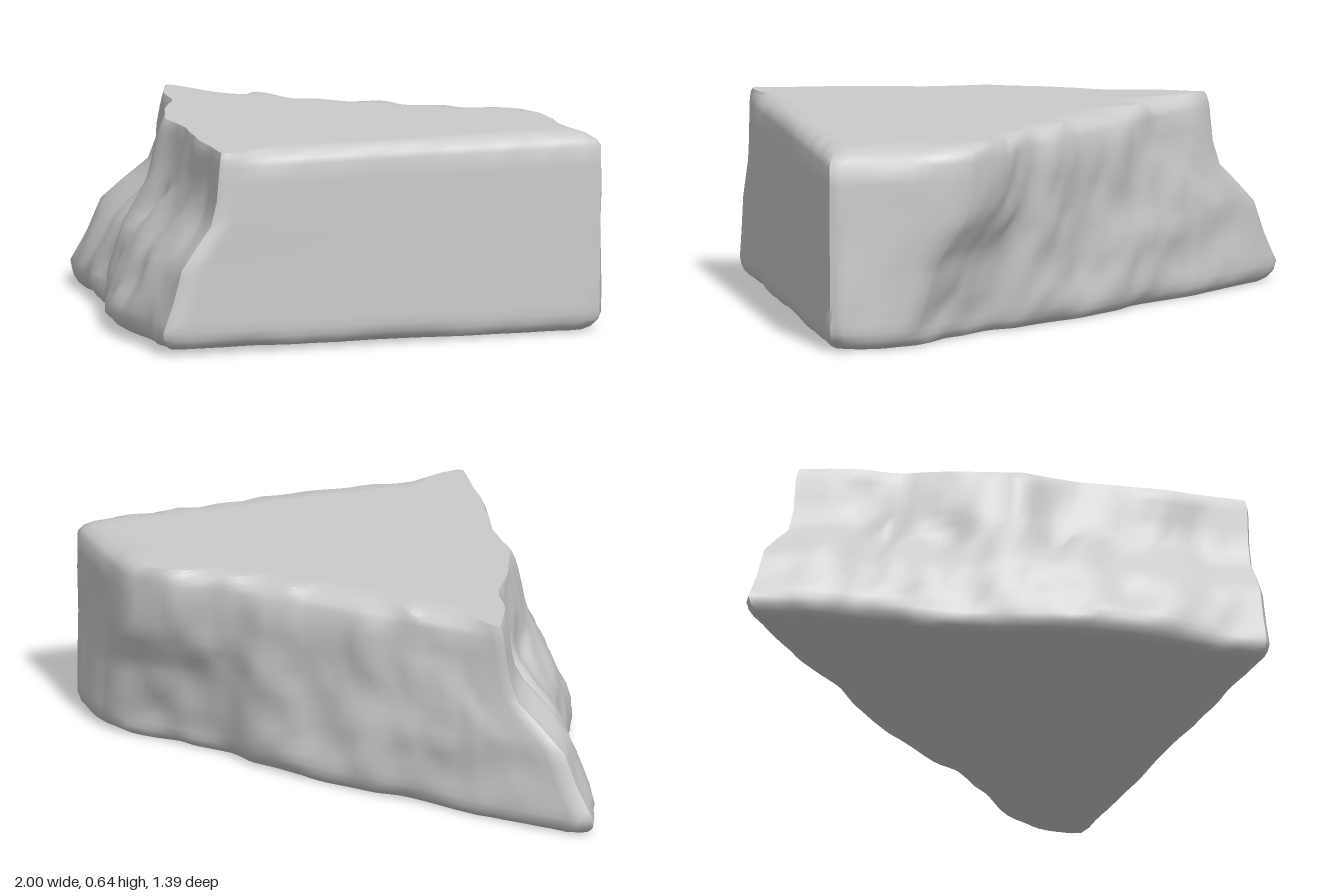
import * as THREE from 'three';
import { toCreasedNormals } from 'three/addons/utils/BufferGeometryUtils.js';

const { lerp, smoothstep } = THREE.MathUtils;
const HEIGHT = 0.64;

// Seeded smooth value noise, -1..1
function hash(x, y, z) {
  const s = Math.sin(x * 127.1 + y * 311.7 + z * 74.7) * 43758.5453;
  return (s - Math.floor(s)) * 2 - 1;
}
function noise(x, y, z) {
  const c = [x, y, z].map(Math.floor);
  const [u, v, w] = [x, y, z].map((n, i) => smoothstep(n - c[i], 0, 1));
  const row = (j, k) => lerp(hash(c[0], c[1] + j, c[2] + k), hash(c[0] + 1, c[1] + j, c[2] + k), u);
  return lerp(lerp(row(0, 0), row(1, 0), v), lerp(row(0, 1), row(1, 1), v), w);
}

// Point at t (0..1) along a list of [x, z] points
function along(pts, t) {
  const f = t * (pts.length - 1), i = Math.min(Math.floor(f), pts.length - 2);
  return [0, 1].map((k) => lerp(pts[i][k], pts[i + 1][k], f - i));
}
// Value of a table of [x, value] rows
function table(rows, x) {
  let i = 0;
  while (i < rows.length - 2 && x > rows[i + 1][0]) i++;
  const [a, b] = [rows[i], rows[i + 1]];
  return lerp(a[1], b[1], THREE.MathUtils.clamp((x - a[0]) / (b[0] - a[0]), 0, 1));
}

// The four sides, each as a foot line and a top line seen from above
const SIDES = [
  { // sloping broken side
    foot: [[-1, -0.66], [-0.92, -0.51], [-0.79, -0.35], [-0.68, -0.18], [-0.56, 0],
      [-0.47, 0.18], [-0.34, 0.36], [-0.14, 0.56], [-0.015, 0.695]],
    top: [[-0.66, -0.64], [-0.59, -0.48], [-0.49, -0.34], [-0.43, -0.16], [-0.35, 0],
      [-0.21, 0.14], [-0.09, 0.32], [0.03, 0.45], [0.125, 0.565]],
    steps: 60, rough: 0.026, crisp: [[0, 0.5], [0.06, 0.2]],
  },
  { // smooth dressed side
    foot: [[0.02, 0.69], [0.965, -0.335]], top: [[0.145, 0.56], [0.965, -0.335]],
    steps: 28, rough: 0, crisp: [[0, 0.4], [0.05, 1]],
  },
  { // short end, narrowing toward the foot
    foot: [[0.995, -0.375], [0.985, -0.41], [0.89, -0.49], [0.81, -0.53]],
    top: [[1, -0.375], [0.99, -0.4], [0.83, -0.54], [0.7, -0.65]],
    steps: 12, rough: 0.004, crisp: [[0, 1], [1, 1]],
  },
  { // broken back, undercut toward the short end
    foot: [[0.77, -0.54], [0.6, -0.535], [0.4, -0.565], [0.2, -0.61], [-0.05, -0.645],
      [-0.32, -0.65], [-0.55, -0.67], [-0.75, -0.69], [-0.96, -0.685]],
    top: [[0.65, -0.68], [0.5, -0.695], [0.36, -0.655], [0.2, -0.65], [0.05, -0.64],
      [-0.15, -0.645], [-0.35, -0.645], [-0.5, -0.64], [-0.64, -0.645]],
    steps: 56, rough: 0.026, crisp: [[0.4, 1], [0.75, 1.6], [0.9, 1.4], [1, 0.6]],
  },
];

// How far each height has moved from the foot outline to the top outline
const SLOPE = [[0.05, 0], [0.15, 0.18], [0.26, 0.33], [0.33, 0.57], [0.4, 0.83], [0.48, 0.93], [0.64, 1]];
// Rounding of the lower and upper rims
const RIM = [[0, 0.07], [0.012, 0.035], [0.03, 0.012], [0.055, 0], [0.59, 0], [0.61, 0.014], [0.627, 0.045], [0.64, 0.1]];
const LEVELS = [0, 0.012, 0.03, 0.055, 0.085, 0.12, 0.155, 0.19, 0.225, 0.26, 0.295, 0.33, 0.365, 0.4,
  0.44, 0.48, 0.53, 0.59, 0.61, 0.627, 0.64];
const CENTRE = [0.1, -0.15];

// One horizontal outline of the block
function ring(y) {
  const out = [];
  for (const side of SIDES) {
    const first = side.foot[0], last = side.foot[side.foot.length - 1];
    const len = Math.hypot(last[0] - first[0], last[1] - first[1]);
    const nx = -(last[1] - first[1]) / len, nz = (last[0] - first[0]) / len;
    for (let i = 0; i < side.steps; i++) {
      const t = i / (side.steps - 1);
      const wander = side.rough * 2 * noise(t * 14, y * 5, 5) * Math.sin(Math.PI * t);
      const mix = table(SLOPE, y + wander);
      const a = along(side.foot, t), b = along(side.top, t);
      let x = lerp(a[0], b[0], mix), z = lerp(a[1], b[1], mix);
      // chipped, hollowed surface, calmer at the corners and rims
      const calm = Math.min(1, 8 * t, 8 * (1 - t)) * (0.3 + 0.7 * Math.min(1, y / 0.1, (HEIGHT - y) / 0.12));
      const bump = noise(x * 5, y * 6, z * 5) * 0.7 + noise(x * 11, y * 9, z * 11) * 0.5 + noise(x * 21, y * 18, z * 21) * 0.2;
      x += nx * side.rough * calm * bump;
      z += nz * side.rough * calm * bump;
      // worn rims, the upper one chipped
      const chip = y > 0.3
        ? Math.max(0.25, 0.8 + 0.7 * noise(x * 9, 3, z * 9)) * table(side.crisp, t)
        : 0.85 + 0.3 * noise(x * 10, 7, z * 10);
      const inset = table(RIM, y) * chip;
      x = lerp(x, CENTRE[0], inset);
      z = lerp(z, CENTRE[1], inset);
      // the underside rises a little toward the front
      const lift = (0.01 + 0.014 * z) * (1 - y / HEIGHT);
      out.push([x, y + lift, z]);
    }
  }
  return out;
}

// A flat border just inside an outline
const border = (outline) => outline.map(([x, y, z]) => [lerp(x, CENTRE[0], 0.12), y, lerp(z, CENTRE[1], 0.12)]);

function blockGeometry() {
  const walls = LEVELS.map(ring);
  const rings = [border(walls[0]), ...walls, border(walls[walls.length - 1])], n = walls[0].length;
  const positions = rings.flat(2), index = [];
  for (let j = 0; j < rings.length - 1; j++) {
    for (let i = 0; i < n; i++) {
      const k = (i + 1) % n, a = j * n, b = a + n;
      index.push(a + i, a + k, b + k, a + i, b + k, b + i);
    }
  }
  // flat bed and top
  const bed = rings.length * n, top = bed + 1, upper = bed - n;
  positions.push(CENTRE[0], 0.008, CENTRE[1], CENTRE[0], HEIGHT, CENTRE[1]);
  for (let i = 0; i < n; i++) {
    const k = (i + 1) % n;
    index.push(bed, k, i, top, upper + i, upper + k);
  }
  const geometry = new THREE.BufferGeometry();
  geometry.setAttribute('position', new THREE.Float32BufferAttribute(positions, 3));
  geometry.setIndex(index);
  return toCreasedNormals(geometry, 0.9);
}

export function createModel() {
  const group = new THREE.Group();
  group.name = 'brokenStone';
  const block = new THREE.Mesh(blockGeometry(), new THREE.MeshStandardMaterial({ color: 0xcccccc }));
  block.name = 'stoneBlock';
  group.add(block);
  return group;
}
